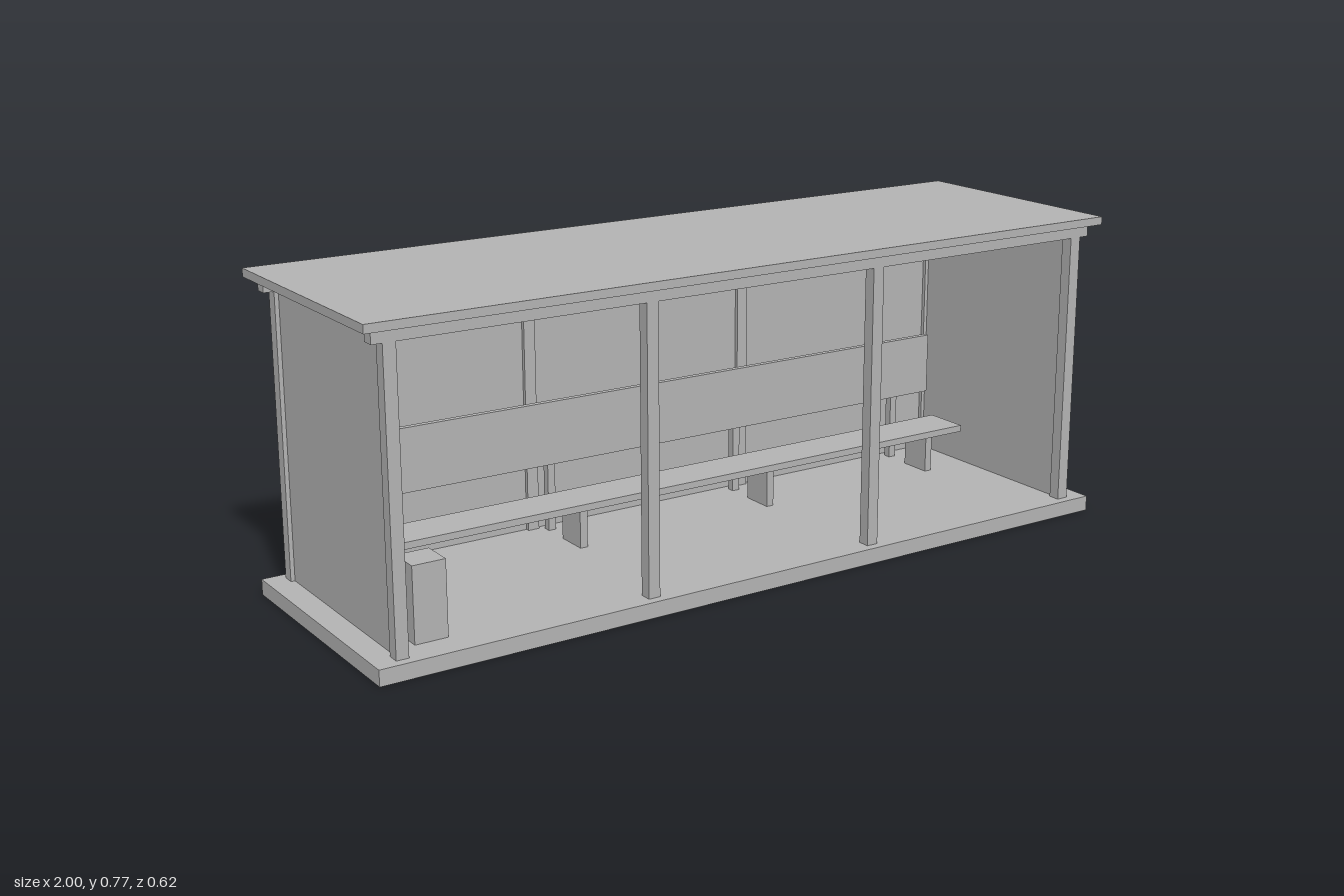
import * as THREE from 'three';

export function createModel() {
  const model = new THREE.Group();
  model.name = 'waitingShelter';
  const grey = new THREE.MeshStandardMaterial({ color: 0xb2b2b2 });
  grey.name = 'grey';

  // Box given by its lower and upper limits on each axis
  const box = (name, [x0, x1], [y0, y1], [z0, z1]) => {
    const mesh = new THREE.Mesh(new THREE.BoxGeometry(x1 - x0, y1 - y0, z1 - z0), grey);
    mesh.position.set((x0 + x1) / 2, (y0 + y1) / 2, (z0 + z1) / 2);
    mesh.name = name;
    model.add(mesh);
  };
  const around = (centre, size) => [centre - size / 2, centre + size / 2];

  const floor = 0.038, beamBottom = 0.72, roofBottom = 0.75;
  const post = 0.03, endX = 0.935, rowZ = 0.275;
  const wallHeight = [floor, beamBottom];

  // Base slab and flat roof
  box('base', [-1, 1], [0, floor], [-0.3125, 0.3125]);
  box('roof', [-1, 1], [roofBottom, 0.77], [-0.3125, 0.3125]);

  // Front and back rows of posts, each under a long beam
  for (const z of [-rowZ, rowZ]) {
    const row = z > 0 ? 'front' : 'back';
    box(row + 'Beam', [-0.975, 0.975], [beamBottom, roofBottom], around(z, post));
    for (let i = 0; i < 4; i++) {
      const x = -endX + (i * 2 * endX) / 3;
      box(row + 'Post', around(x, post), wallHeight, around(z, post));
    }
  }

  // End walls with their short beams
  for (const side of [-1, 1]) {
    box('sideBeam', around(side * endX, post), [beamBottom, roofBottom], [-0.26, 0.26]);
    box('sidePanel', around(side * endX, 0.01), wallHeight, [-0.26, 0.26]);
  }

  // Back wall panels between the posts
  for (let i = 0; i < 3; i++) {
    const x = ((i - 1) * 2 * endX) / 3;
    box('backPanel', around(x, (2 * endX) / 3 - post), wallHeight, around(-rowZ, 0.01));
  }

  // Bench seat and backrest on four supports
  box('benchSeat', [-0.9, 0.9], [0.133, 0.15], [-0.19, -0.07]);
  box('benchBackrest', [-0.9, 0.9], [0.212, 0.37], [-0.232, -0.217]);
  for (const x of [-0.797, -0.275, 0.275, 0.797]) {
    box('benchLeg', around(x, 0.02), [floor, 0.133], [-0.165, -0.08]);
    box('backrestUpright', around(x, 0.02), [floor, 0.36], [-0.252, -0.232]);
  }

  // Litter bin
  box('litterBin', [-0.88, -0.8], [floor, 0.217], [0.155, 0.235]);

  return model;
}
